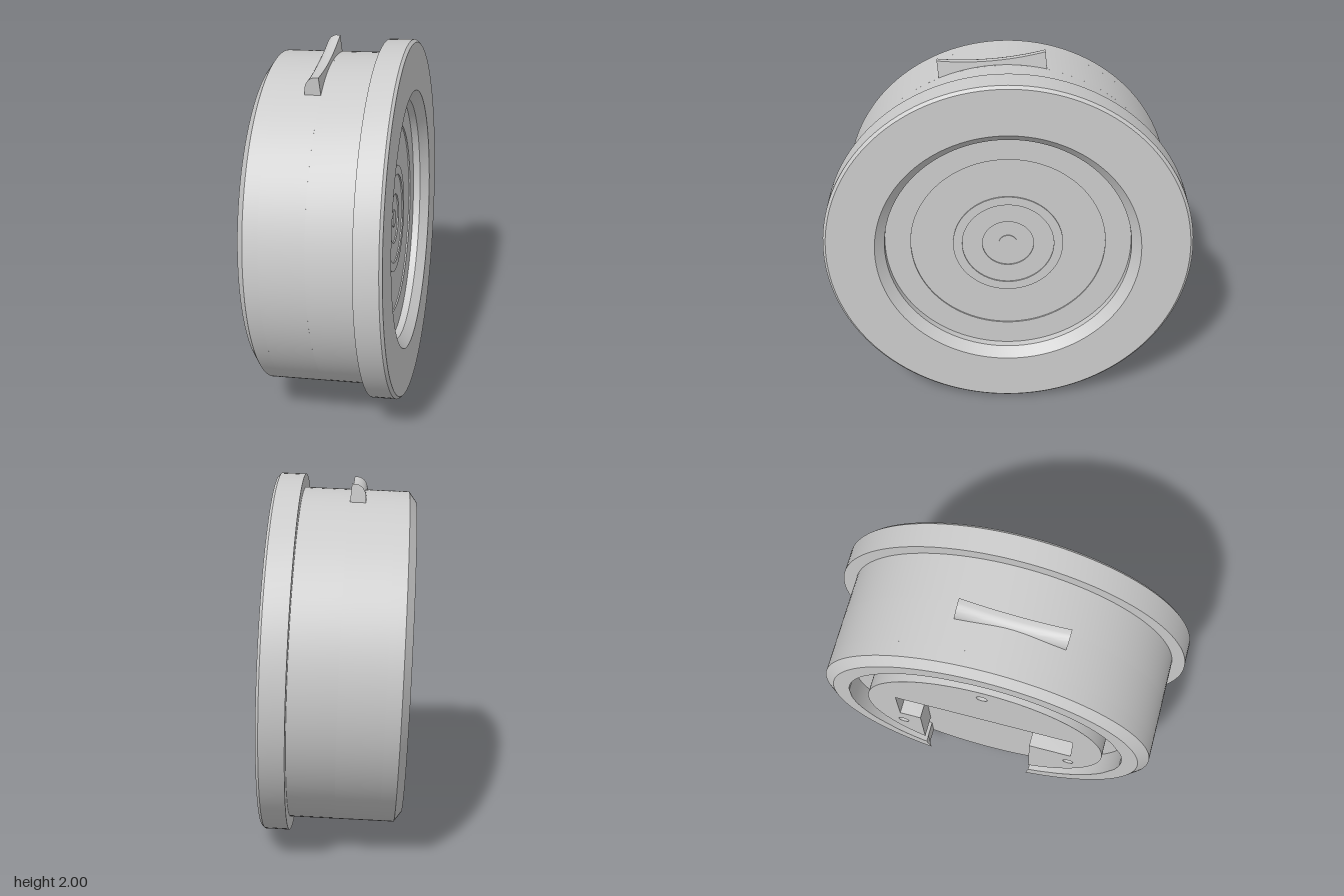
import * as THREE from 'three';
import { toCreasedNormals } from 'three/addons/utils/BufferGeometryUtils.js';

// Local frame: z runs along the axis from the back (0) to the front face (0.76).
const BODY_R = 0.925, CHAMFER_R = 0.87, GROOVE_R = 0.78, BOSS_R = 0.67;
const SLOT_DEPTH = 0.12, POCKET_DEPTH = 0.36;
const SLOT_MIN = -0.26, SLOT_MAX = 0.38;            // sides of the bottom slot
const POCKET_TOP = 0.16, POCKET_LOW = -0.145, POCKET_W = 0.5;

const material = new THREE.MeshStandardMaterial({ color: 0xcccccc });

function part(name, geometry, parent) {
  const mesh = new THREE.Mesh(toCreasedNormals(geometry, 0.4), material);
  mesh.name = name;
  parent.add(mesh);
  return mesh;
}

function extrude(shape, depth, steps = 1) {
  return new THREE.ExtrudeGeometry(shape, { depth, steps, bevelEnabled: false, curveSegments: 128 });
}

function polygon(points, Type = THREE.Shape) {
  return new Type(points.map(([x, y]) => new THREE.Vector2(x, y)));
}

function circleHole(x, y, r) {
  return new THREE.Path().absarc(x, y, r, 0, Math.PI * 2, true);
}

// Angles at which a circle of radius r meets the two slot sides
const slotStart = (r) => -Math.acos(SLOT_MAX / r);
const slotEnd = (r) => Math.PI + Math.acos(-SLOT_MIN / r);

// Solid front half: drum, flange, bevelled recess and shallow concentric rings
function frontGeometry() {
  const profile = [
    [0, POCKET_DEPTH], [BODY_R, POCKET_DEPTH], [BODY_R, 0.613],
    [0.998, 0.613], [0.998, 0.745], [0.983, 0.76],
    [0.72, 0.76], [0.67, 0.71], [0.67, 0.67],
    [0.53, 0.67], [0.53, 0.662], [0.3, 0.662], [0.3, 0.669], [0.25, 0.669],
    [0.25, 0.662], [0.14, 0.662], [0.14, 0.655], [0.05, 0.655], [0.05, 0.66], [0, 0.66],
  ].map(([r, z]) => new THREE.Vector2(r, z));
  return new THREE.LatheGeometry(profile, 128).rotateX(Math.PI / 2);
}

// Drum section holding the deep pocket, with a stepped floor
function pocketGeometry() {
  const shape = new THREE.Shape().absarc(0, 0, BODY_R, 0, Math.PI * 2, false);
  shape.holes.push(polygon([
    [-POCKET_W, POCKET_TOP], [POCKET_W, POCKET_TOP], [POCKET_W, POCKET_LOW],
    [SLOT_MAX, POCKET_LOW], [SLOT_MAX, -0.22], [0, -0.22], [0, POCKET_LOW],
    [-POCKET_W, POCKET_LOW],
  ], THREE.Path));
  return extrude(shape, POCKET_DEPTH - SLOT_DEPTH).translate(0, 0, SLOT_DEPTH);
}

// Rear rim, open at the slot, its outer back edge drawn in to a chamfer
function rimGeometry() {
  const shape = new THREE.Shape();
  shape.absarc(0, 0, BODY_R, slotStart(BODY_R), slotEnd(BODY_R), false);
  shape.absarc(0, 0, GROOVE_R, slotEnd(GROOVE_R), slotStart(GROOVE_R), true);
  shape.closePath();
  const geometry = extrude(shape, SLOT_DEPTH, 3);
  const p = geometry.attributes.position;
  for (let i = 0; i < p.count; i++) {
    if (p.getZ(i) < 0.001 && Math.hypot(p.getX(i), p.getY(i)) > 0.9) {
      const k = CHAMFER_R / BODY_R;
      p.setXY(i, p.getX(i) * k, p.getY(i) * k);
    }
  }
  return geometry;
}

// Round back panel with three screw holes, cut by the pocket and the slot
function panelGeometry() {
  const shape = new THREE.Shape();
  shape.absarc(0, 0, BOSS_R, slotStart(BOSS_R), slotEnd(BOSS_R), false);
  [
    [SLOT_MIN, POCKET_LOW], [-POCKET_W, POCKET_LOW], [-POCKET_W, POCKET_TOP],
    [POCKET_W, POCKET_TOP], [POCKET_W, POCKET_LOW], [SLOT_MAX, POCKET_LOW],
  ].forEach(([x, y]) => shape.lineTo(x, y));
  shape.closePath();
  for (let i = 0; i < 3; i++) {
    const a = Math.PI / 2 + (i * Math.PI * 2) / 3;
    shape.holes.push(circleHole(0.567 * Math.cos(a), 0.567 * Math.sin(a), 0.03));
  }
  return extrude(shape, SLOT_DEPTH);
}

// Quarter-round bar on top, dipping in the middle
function barGeometry() {
  const half = 0.288, base = 0.86;
  const section = new THREE.Shape();
  section.moveTo(0.272, 0);
  section.lineTo(0.272, 0.35);
  section.quadraticCurveTo(0.276, 0.9, 0.325, 1);
  section.lineTo(0.35, 1);
  section.lineTo(0.358, 0);
  section.closePath();
  const geometry = new THREE.ExtrudeGeometry(section, {
    depth: 2 * half, steps: 16, bevelEnabled: false, curveSegments: 10,
  }).translate(0, 0, -half);
  const p = geometry.attributes.position;
  for (let i = 0; i < p.count; i++) {
    const top = 0.95 + 0.026 * (p.getZ(i) / half) ** 2;
    p.setY(i, base + p.getY(i) * (top - base));
  }
  return geometry.rotateY(-Math.PI / 2);
}

export function createModel() {
  const model = new THREE.Group();
  model.name = 'roundHousing';

  // Axis points to +x, leaning slightly up and back
  const housing = new THREE.Group();
  housing.name = 'tiltedHousing';
  housing.rotation.set(-0.0375, Math.PI / 2 + 0.016, 0, 'YXZ');
  housing.position.set(-0.386, 0.974, 0.011);
  model.add(housing);

  part('frontFlangeAndRings', frontGeometry(), housing);
  part('pocketedDrum', pocketGeometry(), housing);
  part('rearRim', rimGeometry(), housing);
  part('backPanel', panelGeometry(), housing);
  part('topBar', barGeometry(), housing).rotation.z = 0.09;

  return model;
}
